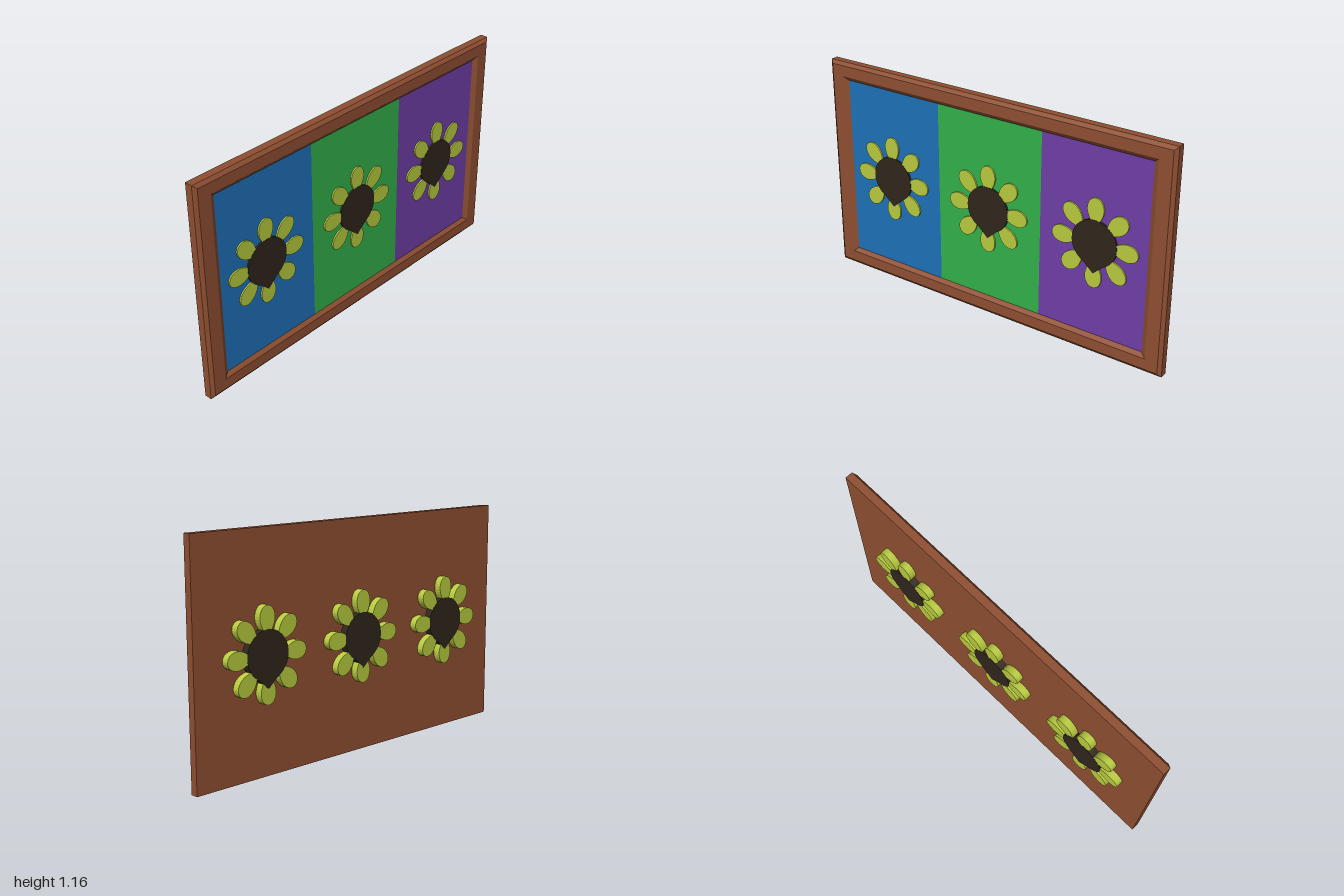
import * as THREE from 'three';

const W = 2, H = 1.165;
const mat = (color, extra = {}) => new THREE.MeshStandardMaterial({ color, ...extra });

function add(parent, name, geometry, material, x = 0, y = 0, z = 0) {
  const mesh = new THREE.Mesh(geometry, material);
  mesh.name = name;
  mesh.position.set(x, y, z);
  parent.add(mesh);
  return mesh;
}

// Rectangular moulding swept through [inset x, inset y, depth] rings
function mouldingGeometry(rings) {
  const pos = [];
  const corners = [[-1, -1], [1, -1], [1, 1], [-1, 1]];
  const point = ([ix, iy, d], k) => {
    const [sx, sy] = corners[k % 4];
    return [sx * (W / 2 - ix), H / 2 + sy * (H / 2 - iy), d];
  };
  for (let i = 0; i < rings.length - 1; i++) {
    for (let k = 0; k < 4; k++) {
      const a = point(rings[i], k), b = point(rings[i], k + 1);
      const c = point(rings[i + 1], k + 1), d = point(rings[i + 1], k);
      pos.push(...a, ...b, ...c, ...a, ...c, ...d);
    }
  }
  const geo = new THREE.BufferGeometry();
  geo.setAttribute('position', new THREE.Float32BufferAttribute(pos, 3));
  geo.computeVertexNormals();
  return geo;
}

// Petal outline pointing up, starting under the rim of the flower head
function petalGeometry() {
  const s = new THREE.Shape();
  s.moveTo(-0.018, 0.108);
  s.bezierCurveTo(-0.05, 0.15, -0.052, 0.19, -0.03, 0.219);
  s.quadraticCurveTo(0, 0.246, 0.03, 0.219);
  s.bezierCurveTo(0.052, 0.19, 0.05, 0.15, 0.018, 0.108);
  s.closePath();
  return new THREE.ExtrudeGeometry(s, { depth: 0.082, bevelEnabled: false, curveSegments: 8 });
}

// Round head with a small point at the bottom
function headGeometry() {
  const s = new THREE.Shape();
  const a = 0.45;
  s.absarc(0, 0, 0.121, -Math.PI / 2 + a, Math.PI * 1.5 - a, false);
  s.lineTo(0, -0.157);
  s.closePath();
  return new THREE.ExtrudeGeometry(s, { depth: 0.084, bevelEnabled: false, curveSegments: 40 });
}

export function createModel() {
  const model = new THREE.Group();
  model.name = 'framedFlowerPanel';

  // Built facing +z, then turned to face +x
  const body = new THREE.Group();
  body.name = 'picture';
  body.rotation.y = Math.PI / 2;
  model.add(body);

  // Backboard and bevelled frame
  const wood = mat(0x8f4f31, { flatShading: true });
  add(body, 'backboard', new THREE.BoxGeometry(W, H, 0.02), wood, 0, H / 2, 0);
  add(body, 'frame', mouldingGeometry([
    [0, 0, 0.01], [0, 0, 0.03], [0.018, 0.018, 0.043],
    [0.086, 0.075, 0.043], [0.112, 0.096, 0.027], [0.112, 0.096, 0.01],
  ]), wood);

  // Three coloured panels, each with a flower
  const petalMat = mat(0xb9cb3f), headMat = mat(0x30261c);
  const petalGeo = petalGeometry(), headGeo = headGeometry();
  const panels = [
    ['left', 0x1d71b8, -0.888, -0.305],
    ['middle', 0x33b04b, -0.305, 0.305],
    ['right', 0x6f3ea8, 0.305, 0.888],
  ];
  panels.forEach(([side, color, x0, x1], i) => {
    add(body, `${side}Panel`, new THREE.BoxGeometry(x1 - x0, H - 0.192, 0.017),
      mat(color), (x0 + x1) / 2, H / 2, 0.0185);

    const flower = new THREE.Group();
    flower.name = `${side}Flower`;
    flower.position.set((i - 1) * 0.61, 0.585, -0.047);
    for (let k = 0; k < 8; k++) {
      add(flower, 'petal', petalGeo, petalMat).rotation.z = k * Math.PI / 4;
    }
    add(flower, 'flowerHead', headGeo, headMat, 0, 0, -0.001);
    body.add(flower);
  });

  return model;
}
